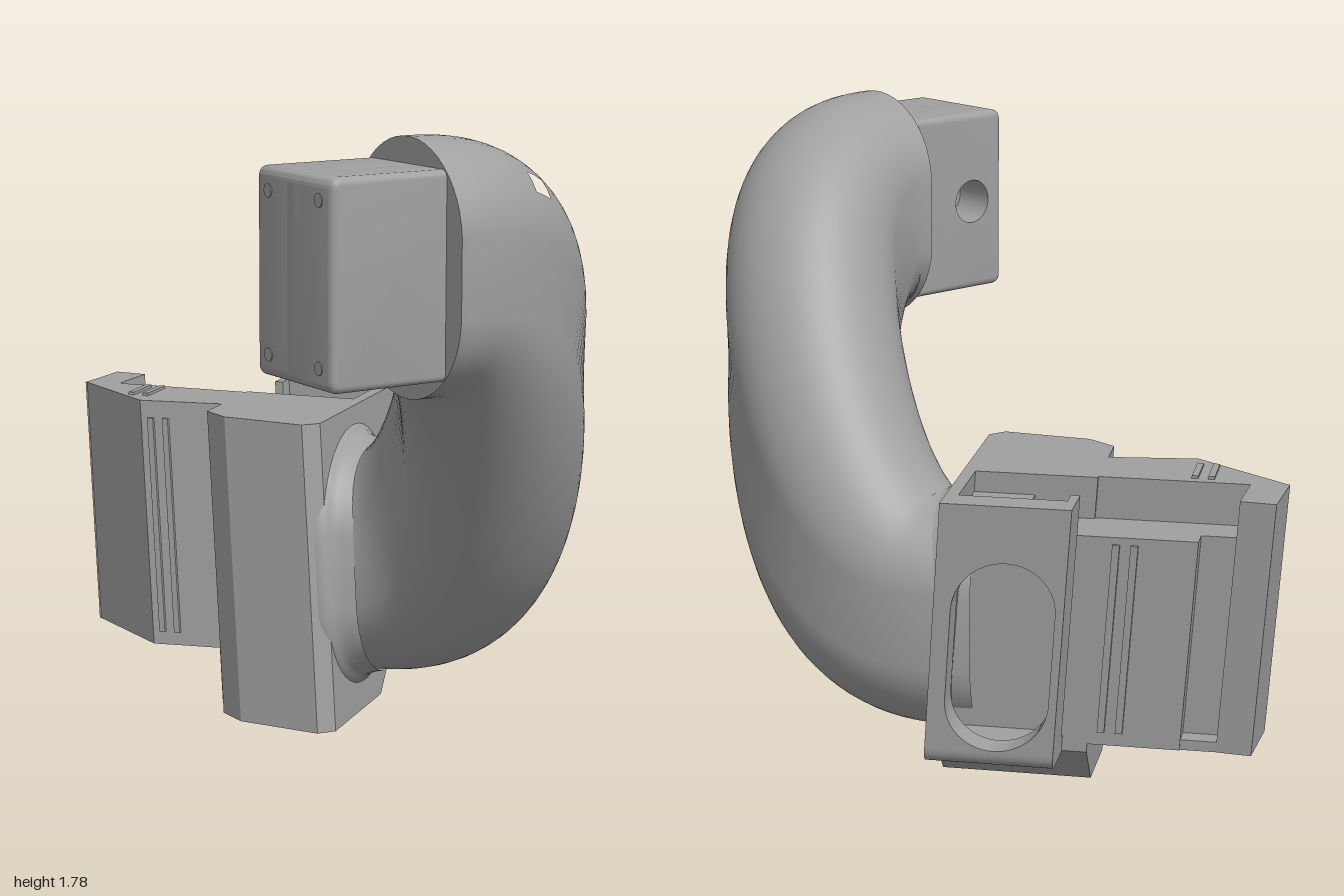
import * as THREE from 'three';
import { toCreasedNormals } from 'three/addons/utils/BufferGeometryUtils.js';

const grey = new THREE.MeshStandardMaterial({ color: 0xa0a0a0 });
grey.name = 'grey plastic';

// The mount is drawn in a local frame (u along its face, v out of it), then turned and leaned back.
const TURN = 0.655, LEAN = 0.095, TOP = 0.89;
function toMount(geo) {
  geo.rotateY(TURN);
  const p = geo.attributes.position;
  for (let i = 0; i < p.count; i++) p.setZ(i, p.getZ(i) - LEAN * (p.getY(i) - TOP));
  geo.computeVertexNormals();
  return geo;
}
const shapeOf = (pts) => new THREE.Shape(pts.map(([x, y]) => new THREE.Vector2(x, y)));
const extrude = (shape, depth) =>
  new THREE.ExtrudeGeometry(shape, { depth, bevelEnabled: false, curveSegments: 16 });

// Plan outline (u, v) raised from y0 to y1
const plan = (pts, y0, y1) =>
  extrude(shapeOf(pts.map(([u, v]) => [u, -v])), y1 - y0).rotateX(-Math.PI / 2).translate(0, y0, 0);
// Face outline (u, y) pushed from v0 to v1
const slab = (shape, v0, v1) => extrude(shape, v1 - v0).translate(0, 0, v0);
const block = (u0, u1, y0, y1, v0, v1) => plan([[u0, v0], [u1, v0], [u1, v1], [u0, v1]], y0, y1);

// Pill-shaped ring of points round a centre, grown by e
const RING = 48;
function pill(c, n, b, e) {
  return Array.from({ length: RING }, (_, j) => {
    const a = ((j + 0.5) / RING) * Math.PI * 2, r = 0.25 + e;
    return c.clone().addScaledVector(n, r * Math.cos(a))
      .addScaledVector(b, r * Math.sin(a) + Math.sign(Math.sin(a)) * 0.09);
  });
}
// Skin a list of rings, leaving out cells close to a hole centre
function loft(rings, hole) {
  const pos = [];
  for (let i = 0; i + 1 < rings.length; i++) {
    for (let j = 0; j < RING; j++) {
      const k = (j + 1) % RING;
      const a = rings[i][j], b = rings[i][k], c = rings[i + 1][k], d = rings[i + 1][j];
      if (hole && a.clone().add(c).multiplyScalar(0.5).distanceTo(hole) < 0.034) continue;
      for (const q of [a, b, c, a, c, d]) pos.push(q.x, q.y, q.z);
    }
  }
  const geo = new THREE.BufferGeometry();
  geo.setAttribute('position', new THREE.Float32BufferAttribute(pos, 3));
  return geo;
}

// Bent pipe: a flat arc whose height falls in a steep S from the socket to the mount
function pipeGeometry() {
  const R = 0.53, DROP = 0.985, SWEEP = Math.PI / 2 + TURN, N = 64, rings = [];
  const at = (t) => {
    const f = Math.PI / 2 - t * SWEEP, s = t * t * t * (10 - 15 * t + 6 * t * t);
    return new THREE.Vector3(-0.22 + R * Math.cos(f), 1.44 - DROP * s, 0.22 + R * Math.sin(f));
  };
  for (let i = 0; i <= N; i++) {
    const t = i / N, f = Math.PI / 2 - t * SWEEP;
    const fall = (DROP * 30 * t * t * (1 - t) * (1 - t)) / (R * SWEEP);
    const n = new THREE.Vector3(Math.cos(f), 0, Math.sin(f));
    const tan = new THREE.Vector3(Math.sin(f), -fall, -Math.cos(f)).normalize();
    const ring = pill(at(t), n, tan.clone().cross(n), 0);
    if (i === 0) rings.push(ring.map((p) => p.clone().sub(at(0)).multiplyScalar(0.01).add(at(0))));
    rings.push(ring);
    if (i === N) rings.push(ring.map((p) => p.clone().addScaledVector(tan, 0.08)));
  }
  return toCreasedNormals(loft(rings, new THREE.Vector3(0.12, 1.65, 0.855)), 0.7);
}

// Slim fillet where the pipe meets the mount
function collarGeometry() {
  const n = new THREE.Vector3(1, 0, 0), b = new THREE.Vector3(0, 1, 0);
  const rings = [[-0.02, 0.045], [0.004, 0.04], [0.014, 0.024], [0.03, 0.012], [0.055, 0.003], [0.08, -0.004]]
    .map(([v, e]) => pill(new THREE.Vector3(0.228, 0.458, v), n, b, e));
  return toCreasedNormals(toMount(loft(rings)), 0.9);
}

// Half of the end socket: round-edged block, its opening kept straight by a snap rule
const HX = -0.44, HY = 1.44;
function socketHalf(hole, snap, z0, z1) {
  const s = new THREE.Shape(), r = 0.03, x0 = -0.56, x1 = -0.2, y0 = 1.17, y1 = 1.71, bev = 0.02;
  s.moveTo(x0 + r, y0).lineTo(x1, y0).lineTo(x1, y1).lineTo(x0 + r, y1);
  s.quadraticCurveTo(x0, y1, x0, y1 - r).lineTo(x0, y0 + r).quadraticCurveTo(x0, y0, x0 + r, y0);
  s.holes.push(hole);
  const geo = new THREE.ExtrudeGeometry(s, {
    depth: z1 - z0 - 2 * bev, bevelThickness: bev, bevelSize: bev, bevelOffset: -bev, bevelSegments: 4, curveSegments: 20,
  });
  const p = geo.attributes.position;
  for (let i = 0; i < p.count; i++) {
    const dx = p.getX(i) - HX, dy = p.getY(i) - HY;
    if (Math.abs(dy) > 0.15) continue;
    const [sx, sy] = snap(dx, dy);
    p.setXY(i, HX + sx, HY + sy);
  }
  return toCreasedNormals(geo.translate(0, 0, z0 + bev), 0.6);
}

export function createModel() {
  const model = new THREE.Group();
  const add = (name, geo, parent = model) => {
    const m = new THREE.Mesh(geo, grey);
    m.name = name;
    parent.add(m);
    return m;
  };

  add('bentPipe', pipeGeometry());
  add('pipeCollar', collarGeometry());

  // End socket: square recess in front, round bore behind
  const socket = new THREE.Group();
  socket.name = 'endSocket';
  const bore = new THREE.Path().absarc(HX, HY, 0.065, 0, Math.PI * 2, true);
  const recess = new THREE.Path([[-0.53, 1.33], [-0.53, 1.55], [-0.35, 1.55], [-0.35, 1.33]]
    .map(([x, y]) => new THREE.Vector2(x, y)));
  const toCircle = (x, y) => [x, y].map((c) => (c * 0.065) / Math.hypot(x, y));
  const toSquare = (x, y) => [Math.sign(x) * 0.09, Math.sign(y) * 0.11];
  add('socketBack', socketHalf(bore, toCircle, 0.57, 0.8), socket);
  add('socketFront', socketHalf(recess, toSquare, 0.7, 0.93), socket);
  for (const y of [1.23, 1.65]) for (const z of [0.63, 0.87]) {
    add('screwSeat', new THREE.CylinderGeometry(0.018, 0.018, 0.006, 16).rotateZ(Math.PI / 2).translate(-0.56, y, z), socket);
  }
  model.add(socket);

  const mount = new THREE.Group();
  mount.name = 'mount';
  model.add(mount);
  const part = (name, geo) => add(name, toMount(geo), mount);

  // Main body and chamfered foot
  part('mountCore', plan([[-0.04, 0.005], [0.34, 0.005], [0.34, -0.37], [0.016, -0.366], [-0.045, -0.287], [-0.08, -0.036]], 0, TOP));
  part('foot', slab(shapeOf([[0.14, 0], [0.36, 0], [0.5, 0.135], [0.5, 0.16], [0.14, 0.16]]), -0.42, 0.004));
  part('coreSide', block(0.33, 0.47, 0.13, 0.77, -0.35, 0));
  part('coreSideTop', block(0.33, 0.4, 0.76, 0.83, -0.2, 0));

  // Side wing: front wall, floor with rounded edge, back lip and slotted plate
  const wall = (top) => {
    const s = new THREE.Shape();
    s.moveTo(0.3, 0.13).lineTo(0.61, 0.13).quadraticCurveTo(0.66, 0.13, 0.66, 0.18);
    return s.lineTo(0.66, top).lineTo(0.3, top);
  };
  part('frontWall', slab(wall(TOP), -0.03, 0.005));
  part('wingFloor', slab(wall(0.18), -0.35, -0.03));
  part('backLip', block(0.52, 0.6, 0.18, TOP, -0.35, -0.325));
  const plate = shapeOf([[0.03, 0.18], [0.35, 0.18], [0.35, TOP], [0.03, TOP]]);
  const slot = new THREE.Path();
  slot.absarc(0.185, 0.587, 0.142, 0, Math.PI, false);
  slot.absarc(0.185, 0.325, 0.142, Math.PI, Math.PI * 2, false);
  plate.holes.push(slot);
  part('slottedPlate', extrude(plate, 0.085).rotateY(Math.PI / 2).translate(0.575, 0, 0));

  // Tail with a lower side ledge, a groove and a full-height hook
  part('tail', plan([[0.132, -0.36], [0.101, -0.616], [0.31, -0.885], [0.33, -0.78], [0.33, -0.36]], 0.16, TOP));
  part('ledge', block(0.32, 0.5, 0.16, 0.77, -0.675, -0.33));
  part('grooveFloor', block(0.32, 0.44, 0.16, 0.77, -0.79, -0.67));
  part('grooveEnd', block(0.43, 0.495, 0.16, 0.19, -0.78, -0.67));
  part('hook', plan([[0.31, -0.89], [0.506, -0.872], [0.495, -0.774], [0.32, -0.785]], 0.16, TOP));

  // Thin ribs on both sides and on top of the tail
  for (const v of [-0.455, -0.505]) part('ledgeRib', block(0.495, 0.51, 0.2, 0.75, v - 0.01, v + 0.01));
  for (const v of [-0.585, -0.54]) {
    const u = 0.132 + ((v + 0.378) / 0.238) * 0.031;
    part('tailRib', block(u - 0.01, u + 0.02, 0.2, 0.84, v - 0.009, v + 0.009));
  }
  for (const v of [-0.675, -0.63]) part('topRib', block(0.17, 0.3, 0.88, 0.898, v - 0.009, v + 0.009));
  return model;
}
